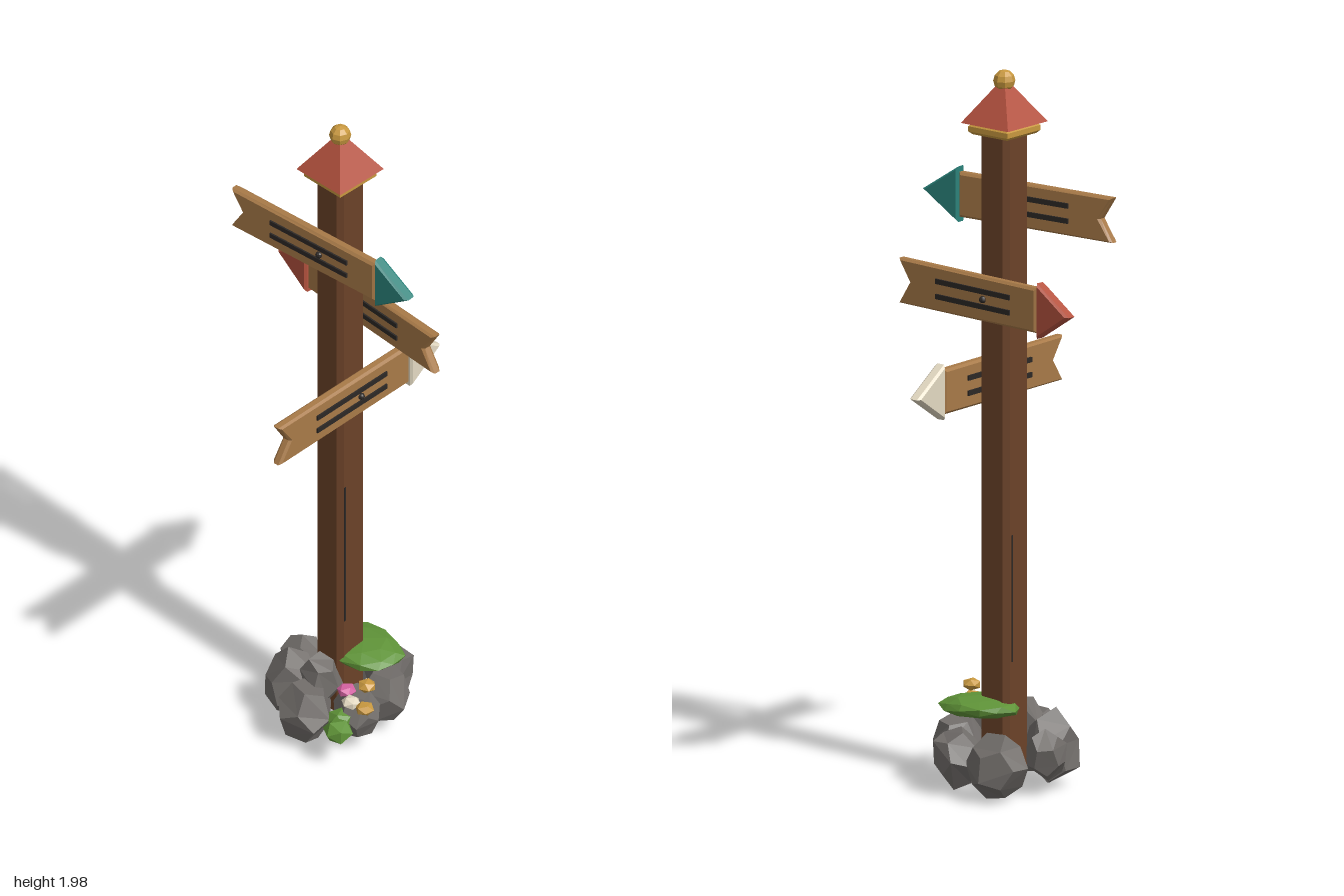
import * as THREE from 'three';

const colour = (name, color) => {
  const m = new THREE.MeshStandardMaterial({ color });
  m.name = name;
  return m;
};

export function createModel() {
  const M = {
    post: colour('dark wood', 0x6b4228),
    board: colour('light wood', 0xa87a48),
    red: colour('roof red', 0xb5523f),
    teal: colour('teal', 0x2a837b),
    cream: colour('cream', 0xe3d9c2),
    gold: colour('gold', 0xc8983f),
    stone: colour('stone', 0x726e6b),
    leaf: colour('leaf green', 0x5f9338),
    pink: colour('pink', 0xd562a2),
    dark: colour('dark iron', 0x2c2826),
  };
  for (const m of Object.values(M)) m.flatShading = true;
  const root = new THREE.Group();
  root.name = 'signpost';

  const add = (parent, name, geo, mat, x = 0, y = 0, z = 0) => {
    const mesh = new THREE.Mesh(geo, mat);
    mesh.name = name;
    mesh.position.set(x, y, z);
    parent.add(mesh);
    return mesh;
  };

  // Chamfered slab cut from an outline, centred on z = 0
  const slab = (points, thick, bevel) => {
    const shape = new THREE.Shape(points.map(([x, y]) => new THREE.Vector2(x, y)));
    const geo = new THREE.ExtrudeGeometry(shape, {
      depth: thick - 2 * bevel, bevelEnabled: true, bevelSegments: 1,
      bevelSize: bevel, bevelThickness: bevel, bevelOffset: -bevel,
    });
    return geo.translate(0, 0, -thick / 2 + bevel);
  };
  const rect = (w, h) => [[-w / 2, -h / 2], [w / 2, -h / 2], [w / 2, h / 2], [-w / 2, h / 2]];

  // Post, collar, roof and ball
  const px = -0.005, pz = -0.004;
  const h = 0.05, c = 0.036;
  const postShape = new THREE.Shape([[h, -c], [h, c], [c, h], [-c, h], [-h, c], [-h, -c], [-c, -h], [c, -h]]
    .map(([x, y]) => new THREE.Vector2(x, y)));
  const postGeo = new THREE.ExtrudeGeometry(postShape, { depth: 1.76, bevelEnabled: false }).rotateX(-Math.PI / 2);
  add(root, 'post', postGeo, M.post, px, 0.07, pz);
  add(root, 'collar', slab(rect(0.138, 0.138), 0.03, 0.008).rotateX(Math.PI / 2), M.gold, px, 1.838, pz);
  add(root, 'roof', new THREE.ConeGeometry(0.083 * Math.SQRT2, 0.125, 4).rotateY(Math.PI / 4), M.red, px, 1.917, pz);
  add(root, 'ball', new THREE.SphereGeometry(0.03, 8, 6), M.gold, px, 1.97, pz);

  // Thin cracks in the wood
  add(root, 'crackRight', new THREE.BoxGeometry(0.004, 0.45, 0.005), M.dark, px + 0.049, 0.6, 0.028);
  add(root, 'crackLeft', new THREE.BoxGeometry(0.004, 0.35, 0.005), M.dark, px - 0.049, 0.55, -0.03);

  // Arrow signs: notched board, coloured tip, marking bars on both faces, nail
  const boardGeo = slab([[-0.318, -0.062], [0.195, -0.062], [0.195, 0.062], [-0.318, 0.062], [-0.278, 0]], 0.03, 0.007);
  const tipGeo = slab([[0.197, -0.077], [0.315, 0], [0.197, 0.077]], 0.036, 0.007);
  const barGeo = new THREE.BoxGeometry(0.275, 0.014, 0.008);
  const sign = (name, x, y, z, yaw, tipMat) => {
    const g = new THREE.Group();
    g.name = name;
    g.position.set(x, y, z);
    g.rotation.y = yaw;
    add(g, 'board', boardGeo, M.board);
    add(g, 'tip', tipGeo, tipMat);
    for (const by of [-0.02, 0.022])
      for (const bz of [-0.016, 0.016]) add(g, 'bar', barGeo, M.dark, -0.037, by, bz);
    add(g, 'nail', new THREE.SphereGeometry(0.01, 8, 6), M.dark, 0, 0, 0.017);
    root.add(g);
  };
  sign('upperSign', 0, 1.615, 0.066, 0.063, M.teal);
  sign('middleSign', 0, 1.378, -0.07, Math.PI - 0.063, M.red);
  sign('lowerSign', 0.062, 1.135, 0, Math.PI / 2 + 0.033, M.cream);

  // Faceted lump: vertices pushed in and out by a rule on their position
  const lump = (base, seed, rough, sx, sy, sz) => {
    const p = base.attributes.position;
    const v = new THREE.Vector3();
    for (let i = 0; i < p.count; i++) {
      v.fromBufferAttribute(p, i);
      const k = 1 + rough * Math.sin(v.x * 5.1 + seed * 2.3) * Math.cos(v.y * 4.3 + v.z * 6.7 + seed);
      p.setXYZ(i, v.x * k * sx, v.y * k * sy, v.z * k * sz);
    }
    base.computeVertexNormals();
    return base;
  };

  // Ring of rocks: x, y, z, then half sizes
  const rocks = [
    [-0.095, 0.115, -0.145, 0.09, 0.095, 0.075],
    [0.04, 0.115, -0.145, 0.072, 0.085, 0.07],
    [0.12, 0.13, -0.05, 0.072, 0.085, 0.075],
    [-0.155, 0.13, -0.005, 0.057, 0.072, 0.06],
    [-0.095, 0.125, 0.09, 0.078, 0.105, 0.08],
    [0.01, 0.12, 0.145, 0.085, 0.098, 0.078],
    [0.125, 0.13, 0.06, 0.068, 0.08, 0.06],
    [0.0, 0.185, 0.07, 0.062, 0.075, 0.055],
  ];
  rocks.forEach(([x, y, z, ...s], i) => {
    const geo = new THREE.DodecahedronGeometry(1, 0).rotateY(i * 1.3).rotateX(i * 0.7);
    add(root, 'rock', lump(geo, i + 1, 0.1, ...s), M.stone, x, y, z);
  });

  // Moss cushions
  const moss = [
    [0.04, 0.243, -0.05, 0.118, 0.03, 0.092],
    [0.15, 0.132, 0.16, 0.043, 0.034, 0.042],
    [0.118, 0.132, 0.118, 0.036, 0.03, 0.04],
  ];
  moss.forEach(([x, y, z, ...s], i) =>
    add(root, 'moss', lump(new THREE.IcosahedronGeometry(1, i ? 0 : 1).rotateY(i), i + 4, 0.08, ...s), M.leaf, x, y, z));

  // Flattened blossoms
  const blossoms = [
    [0.118, 0.217, 0.095, M.pink], [0.165, 0.217, 0.125, M.cream],
    [0.18, 0.257, 0.08, M.gold], [0.207, 0.213, 0.115, M.gold],
  ];
  blossoms.forEach(([x, y, z, mat], i) =>
    add(root, 'blossom', new THREE.IcosahedronGeometry(0.027, 0).rotateY(i).scale(1, 0.65, 1), mat, x, y, z));

  return root;
}
